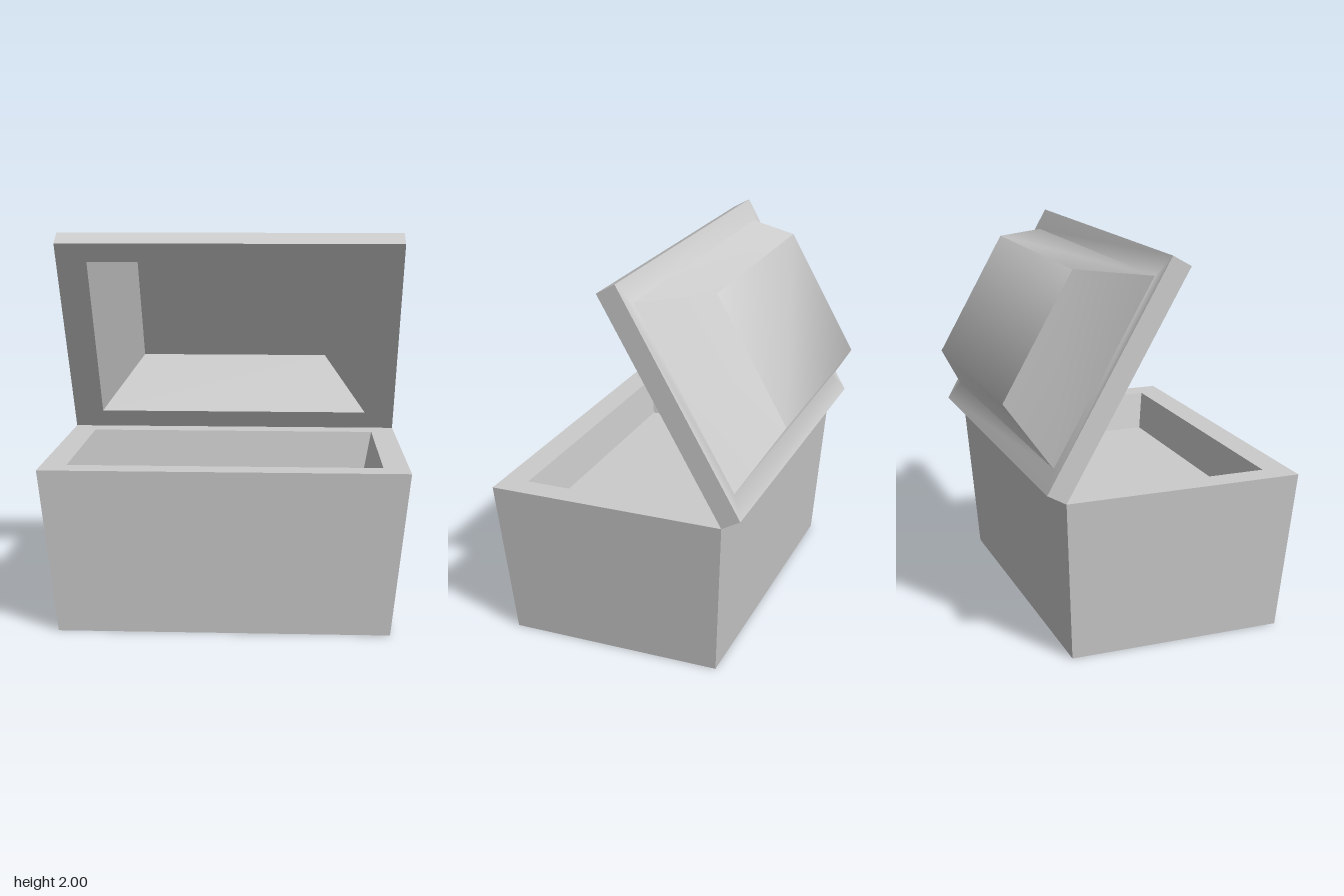
import * as THREE from 'three';
import { toCreasedNormals } from 'three/addons/utils/BufferGeometryUtils.js';

const material = new THREE.MeshStandardMaterial({ color: 0xcccccc });

// Skin a chain of rectangular rings [halfWidth, backZ, frontZ, y], optionally capping each end.
function loftRects(name, rings, { capStart = false, capEnd = false, crease = 0.1 } = {}) {
  const corners = rings.map(([w, z0, z1, y]) => [[-w, y, z1], [w, y, z1], [w, y, z0], [-w, y, z0]]);
  const pos = [];
  const quad = (a, b, c, d) => pos.push(...a, ...b, ...c, ...a, ...c, ...d);
  for (let r = 0; r < corners.length - 1; r++) {
    const lo = corners[r], hi = corners[r + 1];
    for (let i = 0; i < 4; i++) {
      const j = (i + 1) % 4;
      quad(lo[i], lo[j], hi[j], hi[i]);
    }
  }
  if (capStart) quad(...[...corners[0]].reverse());
  if (capEnd) quad(...corners[corners.length - 1]);
  const geometry = new THREE.BufferGeometry();
  geometry.setAttribute('position', new THREE.Float32BufferAttribute(pos, 3));
  const mesh = new THREE.Mesh(toCreasedNormals(geometry, crease), material);
  mesh.name = name;
  return mesh;
}

export function createModel() {
  const model = new THREE.Group();
  model.name = 'chest';

  // Tapered box with a shallow recess
  model.add(loftRects('chestBase', [
    [0.845, -0.46, 0.67, 0],
    [0.93, -0.515, 0.725, 0.85],
    [0.8, -0.38, 0.59, 0.85],
    [0.76, -0.35, 0.56, 0.64],
  ], { capStart: true, capEnd: true }));

  // Lid, built closed with its hinge edge at the origin, then swung open
  const lid = new THREE.Group();
  lid.name = 'lid';
  const depth = 1.26, thickness = 0.11;
  const ring = (halfWidth, inset, y) => [halfWidth, inset, depth - inset, y];

  // Hollow inside and flat underside of the rim
  lid.add(loftRects('lidInterior', [
    ring(0.535, 0.29, 0.32),
    ring(0.765, 0.115, 0),
    ring(0.93, 0, 0),
  ], { capStart: true }));

  // Rim edge and raised, softly shaded top
  lid.add(loftRects('lidExterior', [
    ring(0.93, 0, 0),
    ring(0.93, 0, thickness),
    ring(0.855, 0.118, thickness),
    ring(0.6, 0.267, 0.39),
  ], { capEnd: true, crease: 1.2 }));

  lid.position.set(0, 0.85, -0.515);
  lid.rotation.x = -THREE.MathUtils.degToRad(60.3);
  model.add(lid);

  return model;
}
